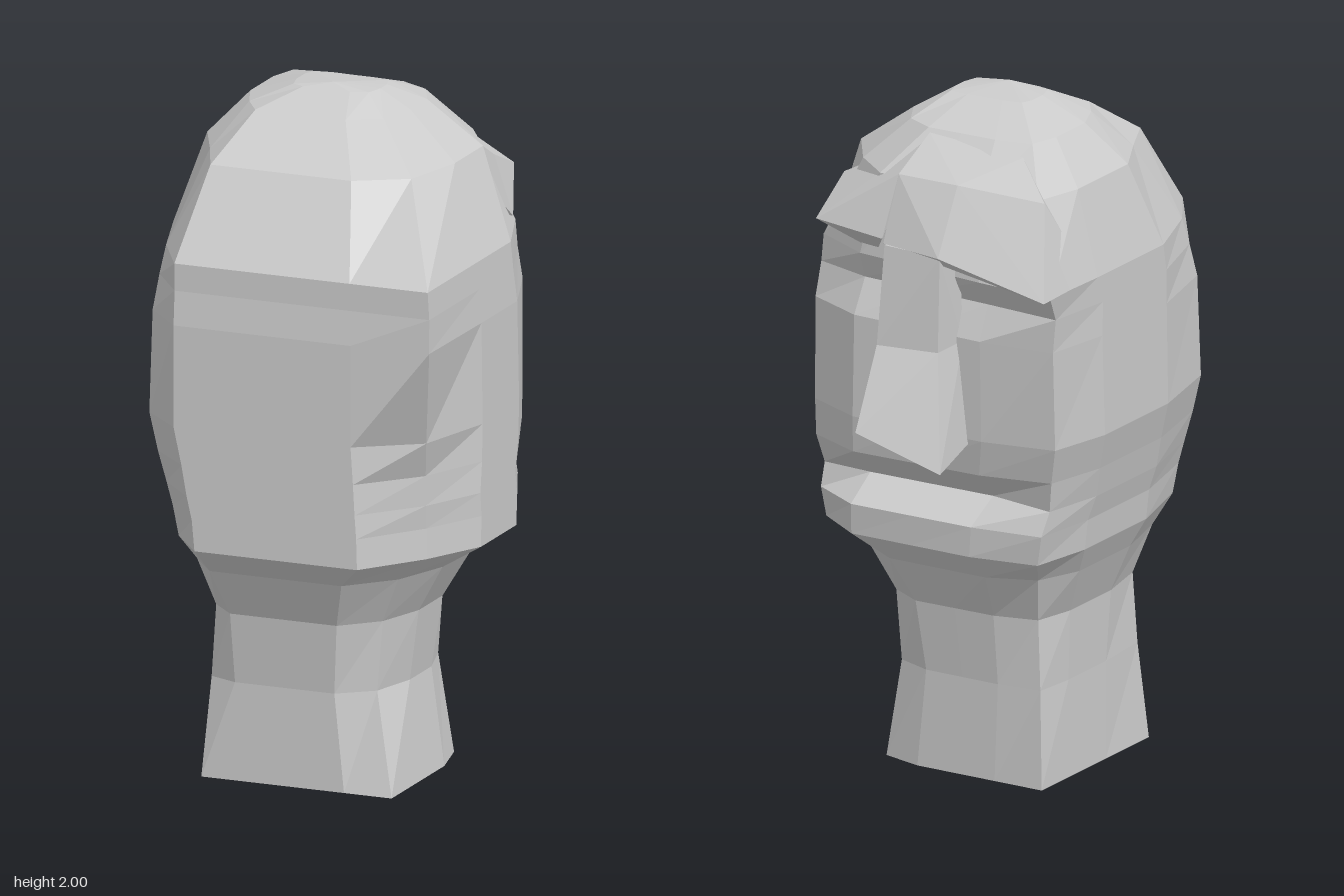
import * as THREE from 'three';
import { ConvexGeometry } from 'three/addons/geometries/ConvexGeometry.js';

const material = new THREE.MeshStandardMaterial({ color: 0xcccccc, flatShading: true });

// One horizontal section: a box outline whose corners are pulled in (order of
// insets: back -x, back +x, face +x, face -x). The face side (-z) may be skewed,
// and a dent pushes its middle inwards.
function section([y, xL, xR, zB, zFL, zFR, iBL, iBR, iFR, iFL, dent = 0]) {
  const cx = (xL + xR) / 2, hx = (xR - xL) / 2;
  const outline = [
    [-1 + iBL, 1 - 2 * iBL], [-0.62, 1], [-0.1, 1], [0.5, 1], [1 - iBR, 1 - 2 * iBR],
    [1, 0.2], [1, -0.05], [1, -0.35],
    [1 - iFR, -1 + iFR], [0.45, -1], [0, -1], [-0.45, -1], [-1 + iFL, -1 + iFL],
    [-1, -0.5], [-1, -0.1], [-1, 0.2],
  ];
  return outline.map(([u, v]) => {
    const zF = THREE.MathUtils.lerp(zFL, zFR, (u + 1) / 2);
    const z = THREE.MathUtils.lerp(zF, zB, (v + 1) / 2);
    return [cx + u * hx, y, v === -1 && Math.abs(u) < 0.5 ? z + dent : z];
  });
}

// Skin over stacked sections, closed with a fan at both ends
function loft(sections, bottom, top) {
  const n = sections[0].length, index = [];
  const points = [...sections.flat(), bottom, top];
  const b = points.length - 2, t = points.length - 1, last = (sections.length - 1) * n;
  for (let c = 0; c < n; c++) {
    const d = (c + 1) % n;
    for (let r = 0; r < last; r += n) {
      index.push(r + c, r + d, r + n + d, r + c, r + n + d, r + n + c);
    }
    index.push(b, d, c, t, last + c, last + d);
  }
  const geometry = new THREE.BufferGeometry();
  geometry.setAttribute('position', new THREE.Float32BufferAttribute(points.flat(), 3));
  geometry.setIndex(index);
  geometry.computeVertexNormals();
  return geometry;
}

export function createModel() {
  const group = new THREE.Group();
  const add = (name, geometry) => {
    const mesh = new THREE.Mesh(geometry, material);
    mesh.name = name;
    group.add(mesh);
  };
  const hull = (name, points) =>
    add(name, new ConvexGeometry(points.map((p) => new THREE.Vector3(...p))));

  // Neck
  const jawline = [0.64, -0.37, 0.36, 0.53, -0.28, -0.23, 0.14, 0.17, 0.22, 0.15];
  const neck = [
    [0, -0.3, 0.29, 0.43, -0.17, -0.13, 0, 0, 0.12, 0],
    [0.29, -0.3, 0.25, 0.43, -0.17, -0.13, 0.06, 0.14, 0.15, 0.05],
    [0.5, -0.31, 0.28, 0.46, -0.19, -0.16, 0.12, 0.16, 0.2, 0.1],
    jawline,
  ].map(section);
  add('neck', loft(neck, [0, 0, 0.13], [0, 0.66, 0.13]));

  // Head, from jaw to crown, with dents for the mouth and the eyes
  const head = [
    jawline,
    [0.72, -0.41, 0.49, 0.62, -0.36, -0.3, 0.14, 0.2, 0.22, 0.08],
    [0.81, -0.42, 0.49, 0.62, -0.36, -0.31, 0.13, 0.2, 0.2, 0.06],
    [0.88, -0.44, 0.49, 0.62, -0.34, -0.29, 0.13, 0.19, 0.2, 0.08, 0.08],
    [0.97, -0.46, 0.49, 0.62, -0.36, -0.32, 0.12, 0.18, 0.18, 0.09],
    [1.08, -0.49, 0.49, 0.62, -0.39, -0.33, 0.12, 0.13, 0.18, 0.09],
    [1.38, -0.49, 0.49, 0.62, -0.41, -0.31, 0.13, 0.01, 0.17, 0.07],
    [1.48, -0.49, 0.485, 0.61, -0.4, -0.28, 0.15, 0, 0.17, 0.05, 0.03],
    [1.56, -0.49, 0.48, 0.61, -0.44, -0.27, 0.17, 0, 0.17, 0.02],
    [1.81, -0.42, 0.36, 0.43, -0.37, -0.3, 0.2, 0.12, 0.25, 0.1],
    [1.93, -0.31, 0.19, 0.24, -0.22, -0.2, 0.17, 0.12, 0.2, 0.1],
    [1.985, -0.16, 0.1, 0.14, -0.03, -0.03, 0.1, 0.1, 0.1, 0.1],
  ].map(section);
  add('head', loft(head, [0, 0.64, 0.13], [-0.03, 2, 0.11]));

  // Nose, with its tip turned slightly
  const noseRidge = [[-0.14, 1.36, -0.48], [0.05, 1.36, -0.5], [-0.14, 1.36, -0.34], [0.09, 1.36, -0.32]];
  hull('noseBridge', [
    ...noseRidge,
    [-0.14, 1.64, -0.47], [0.06, 1.64, -0.44], [-0.13, 1.64, -0.34], [0.08, 1.64, -0.3],
  ]);
  hull('nose', [
    ...noseRidge,
    [-0.2, 1.03, -0.57], [0.05, 1.13, -0.62], [-0.17, 1.07, -0.34], [0.08, 1.13, -0.34],
  ]);

  // Brows: a broad shelf on one side, a pointed one on the other
  hull('rightBrow', [
    [-0.49, 1.56, -0.48], [-0.41, 1.81, -0.34], [-0.14, 1.64, -0.48], [-0.14, 1.83, -0.37],
    [0.06, 1.83, -0.36], [0.07, 1.64, -0.43], [-0.48, 1.56, -0.2], [0, 1.58, -0.3],
    [-0.28, 1.9, -0.24], [0.04, 1.92, -0.22],
  ]);
  hull('leftBrow', [
    [0.31, 1.67, -0.4], [0.06, 1.83, -0.36], [0.08, 1.65, -0.42], [0.2, 1.8, -0.25],
    [0.34, 1.75, -0.19], [0.42, 1.59, -0.14], [0.18, 1.56, -0.28], [0.05, 1.9, -0.23],
  ]);
  return group;
}
